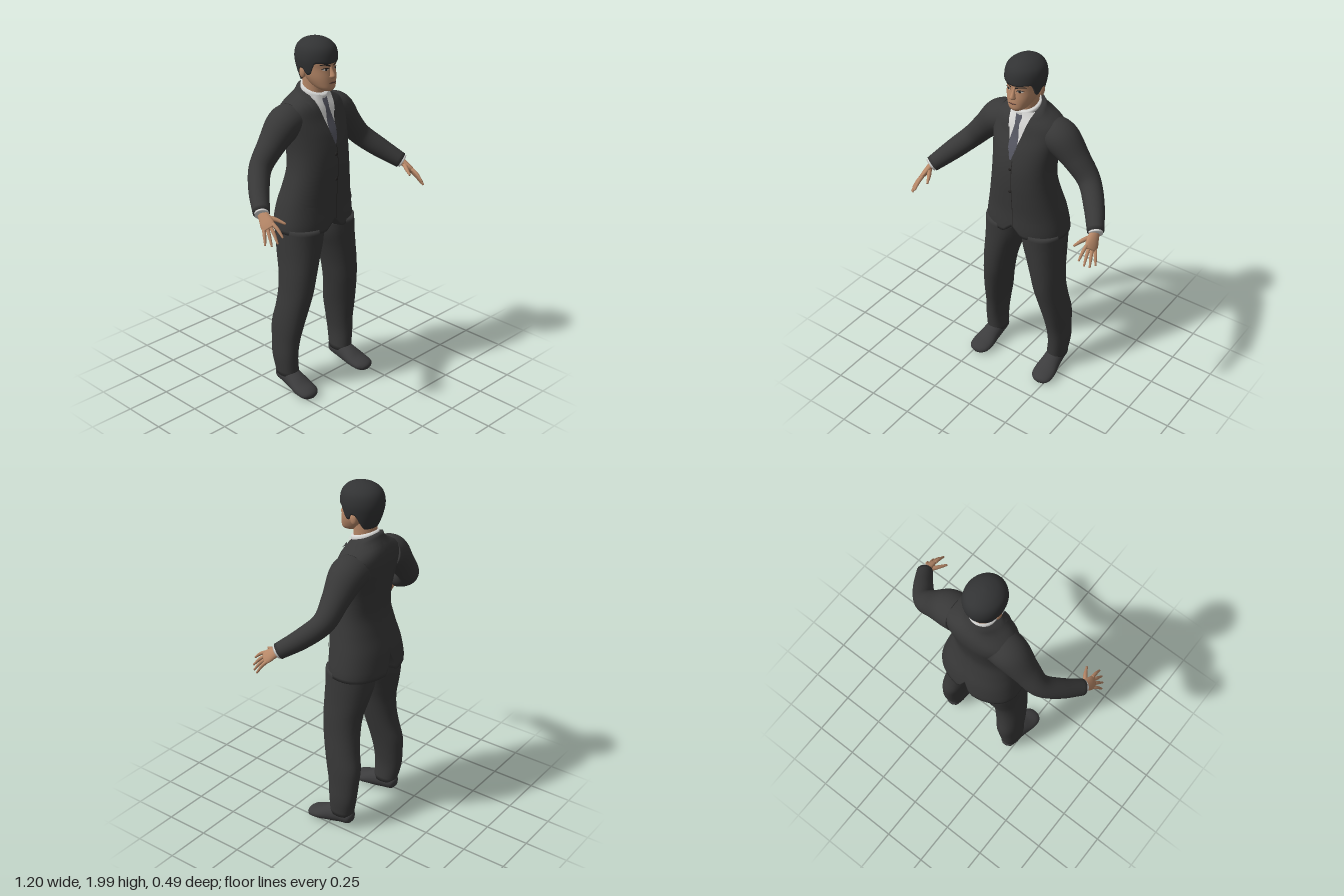
import * as THREE from 'three';

const mat = (name, color) => Object.assign(new THREE.MeshStandardMaterial({ color }), { name });
const M = {
  suit: mat('suit charcoal', 0x383838), shoe: mat('shoe leather', 0x3c3c3d),
  hair: mat('hair black', 0x323334), skin: mat('skin', 0xb78868),
  shirt: mat('shirt white', 0xd6d6d4), tie: mat('tie grey', 0x565762),
  dark: mat('dark detail', 0x262423), lip: mat('lips', 0x94624f), eye: mat('eye white', 0xc9bfb6),
};
const step = THREE.MathUtils.smoothstep;

// Smooth interpolation of rows whose first entry is the key.
function sample(rows, k) {
  const n = rows.length;
  k = Math.min(Math.max(k, rows[0][0]), rows[n - 1][0]);
  let i = 0;
  while (i < n - 2 && k > rows[i + 1][0]) i++;
  const a = rows[i], b = rows[i + 1], h = b[0] - a[0], t = (k - a[0]) / h;
  const p = rows[Math.max(i - 1, 0)], q = rows[Math.min(i + 2, n - 1)];
  return a.slice(1).map((v, j) => {
    j++;
    const m0 = (b[j] - p[j]) / (b[0] - p[0]), m1 = (q[j] - a[j]) / (q[0] - a[0]);
    const t2 = t * t, t3 = t2 * t;
    return (2 * t3 - 3 * t2 + 1) * v + (t3 - 2 * t2 + t) * h * m0 + (3 * t2 - 2 * t3) * b[j] + (t3 - t2) * h * m1;
  });
}

function indexed(name, pos, idx, material) {
  const g = new THREE.BufferGeometry();
  g.setAttribute('position', new THREE.Float32BufferAttribute(pos, 3));
  g.setIndex(idx);
  g.computeVertexNormals();
  const m = new THREE.Mesh(g, material);
  m.name = name;
  return m;
}

// Skin closed rings of points and cap both ends.
function loft(name, rings, material) {
  const s = rings[0].length, n = rings.length, pos = rings.flat(2), idx = [];
  for (let k = 0; k < n - 1; k++) for (let j = 0; j < s; j++) {
    const a = k * s + j, b = k * s + (j + 1) % s, c = a + s, d = b + s;
    idx.push(a, c, b, b, c, d);
  }
  [0, n - 1].forEach((k, end) => {
    const centre = pos.length / 3;
    for (let i = 0; i < 3; i++) pos.push(rings[k].reduce((sum, p) => sum + p[i], 0) / s);
    for (let j = 0; j < s; j++) {
      const a = k * s + j, b = k * s + (j + 1) % s;
      idx.push(centre, end ? b : a, end ? a : b);
    }
  });
  return indexed(name, pos, idx, material);
}

// Upright form; rows are [y, centre x, half width, front z, back z].
function upright(name, rows, material, { e = 1, n = 24, seg = 32, low, high, dome } = {}) {
  const rings = [], pow = v => Math.sign(v) * Math.abs(v) ** e;
  for (let i = 0; i <= n; i++) {
    const f = dome ? Math.sin(i / n * Math.PI / 2) : i / n;
    rings.push(Array.from({ length: seg }, (_, j) => {
      const t = j / seg * Math.PI * 2, sn = Math.sin(t), front = Math.abs(t - Math.PI / 2);
      const y0 = low ? low(sn, front, Math.abs(t - Math.PI * 1.5)) : rows[0][0];
      const y1 = high ? high(sn) : rows[rows.length - 1][0];
      const y = y0 + (y1 - y0) * f, [cx, rx, zf, zb] = sample(rows, y);
      return [cx + rx * pow(Math.cos(t)), y, (zf + zb) / 2 + (zf - zb) / 2 * pow(sn)];
    }));
  }
  return loft(name, rings, material);
}

// Limb along a path; rows are [x, y, z, radius u, radius v], v lying towards ref.
function limb(name, path, material, ref = [0, 0, 1], seg = 20, sub = 5) {
  const rows = path.map((r, i) => [i, ...r]), last = path.length - 1, rings = [];
  for (let i = 0; i <= last * sub; i++) {
    const k = i / sub, r = sample(rows, k), at = q => new THREE.Vector3(...sample(rows, q).slice(0, 3));
    const T = at(k + 0.05).sub(at(k - 0.05)).normalize();
    const V = new THREE.Vector3(...ref);
    V.addScaledVector(T, -V.dot(T)).normalize();
    const U = T.clone().cross(V);
    rings.push(Array.from({ length: seg }, (_, j) => {
      const t = j / seg * Math.PI * 2;
      return new THREE.Vector3(r[0], r[1], r[2]).addScaledVector(U, r[3] * Math.cos(t)).addScaledVector(V, r[4] * Math.sin(t)).toArray();
    }));
  }
  return loft(name, rings, material);
}

// Thin plate lying on the front of an upright form; fn maps u,v to x,y.
function plate(name, rows, e, fn, off, material, nu = 8, nv = 12) {
  const pos = [], idx = [];
  for (let i = 0; i <= nv; i++) for (let j = 0; j <= nu; j++) {
    const [x, y] = fn(j / nu, i / nv), [cx, rx, zf, zb] = sample(rows, y);
    const c = Math.min(Math.abs(x - cx) / rx, 1);
    pos.push(x, y, (zf + zb) / 2 + (zf - zb) / 2 * (1 - c ** (2 / e)) ** (e / 2) + off);
    if (i < nv && j < nu) {
      const a = i * (nu + 1) + j, b = a + nu + 1;
      idx.push(a, a + 1, b, a + 1, b + 1, b);
    }
  }
  return indexed(name, pos, idx, material);
}

function ball(name, p, s, material) {
  const m = new THREE.Mesh(new THREE.SphereGeometry(1, 16, 12).scale(...s).translate(...p), material);
  m.name = name;
  return m;
}

function mirrored(m) {
  const g = m.geometry.clone().scale(-1, 1, 1), a = g.index.array;
  for (let i = 0; i < a.length; i += 3) [a[i], a[i + 1]] = [a[i + 1], a[i]];
  const r = new THREE.Mesh(g, m.material);
  r.name = m.name.replace('left', 'right');
  return r;
}

const JACKET = [[0.955, 0, 0.242, 0.085, -0.245], [1.0, 0, 0.24, 0.088, -0.245], [1.1, 0, 0.222, 0.088, -0.23],
  [1.2, 0, 0.2, 0.095, -0.2], [1.3, 0, 0.182, 0.1, -0.178], [1.4, 0, 0.178, 0.095, -0.185],
  [1.5, 0, 0.19, 0.072, -0.2], [1.58, 0, 0.205, 0.04, -0.21], [1.64, 0, 0.185, 0.02, -0.205],
  [1.68, 0, 0.12, 0.0, -0.19], [1.7, 0, 0.09, -0.008, -0.175], [1.745, 0, 0.072, -0.02, -0.152]];
const HEAD = [[1.728, 0, 0.025, 0.055, 0.005], [1.74, 0, 0.045, 0.067, -0.03], [1.76, 0, 0.06, 0.069, -0.07],
  [1.8, 0, 0.077, 0.066, -0.11], [1.85, 0, 0.086, 0.058, -0.14], [1.89, 0, 0.09, 0.058, -0.15],
  [1.95, 0, 0.08, 0.04, -0.14], [1.98, 0, 0.04, 0.0, -0.1]];
const HAIR = [[1.76, 0, 0.072, 0.0, -0.128], [1.8, 0, 0.088, 0.05, -0.148], [1.85, 0, 0.1, 0.066, -0.165],
  [1.9, 0, 0.106, 0.07, -0.172], [1.95, 0, 0.095, 0.058, -0.16], [1.98, 0, 0.066, 0.028, -0.13],
  [1.995, 0, 0.033, -0.01, -0.09], [2.0, 0, 0.008, -0.04, -0.058]];
const LEG = [[0.09, 0.212, 0.054, 0.0, -0.14], [0.2, 0.22, 0.056, 0.002, -0.165], [0.3, 0.213, 0.06, 0.01, -0.175],
  [0.4, 0.203, 0.067, 0.03, -0.18], [0.5, 0.188, 0.074, 0.05, -0.16], [0.6, 0.172, 0.08, 0.068, -0.15],
  [0.7, 0.158, 0.088, 0.075, -0.155], [0.8, 0.14, 0.1, 0.077, -0.18], [0.9, 0.122, 0.116, 0.077, -0.2],
  [0.98, 0.118, 0.118, 0.077, -0.205]];

export function createModel() {
  const model = new THREE.Group();
  model.name = 'man in suit';
  const add = (...ms) => model.add(...ms);
  const pair = m => add(m, mirrored(m));
  const E = 0.88;

  // Jacket with front notch and back vent in the hem
  add(upright('jacket', JACKET, M.suit, { e: E, n: 40, seg: 72,
    low: (s, f, b) => 0.955 + Math.max(0, 0.06 * (1 - f / 0.2)) + Math.max(0, 0.11 * (1 - b / 0.13)),
    high: s => 1.715 - 0.03 * s }));
  const vee = y => 0.004 + 0.066 * (y - 1.45) / 0.25;
  add(plate('shirt front', JACKET, E, (u, v) => { const y = 1.45 + 0.25 * v; return [(2 * u - 1) * vee(y), y]; }, 0.004, M.shirt));
  const TIE = [[1.45, 0.005], [1.53, 0.026], [1.635, 0.013], [1.645, 0.015], [1.685, 0.021]];
  add(plate('tie', JACKET, E, (u, v) => { const y = 1.45 + 0.235 * v; return [(2 * u - 1) * sample(TIE, y)[0], y]; }, 0.009, M.tie, 6, 24));
  pair(plate('left lapel', JACKET, E, (u, v) => {
    const y = 1.43 + 0.25 * v;
    return [vee(Math.max(y, 1.45)) + u * 0.055 * Math.min(1, v * 1.6) * (v > 0.8 ? 0.75 : 1), y];
  }, 0.009, M.suit, 5, 20));
  add(plate('front seam', JACKET, E, (u, v) => [0.008 + u * 0.004, 1.02 + 0.42 * v], 0.002, M.dark, 1, 20));
  pair(plate('left pocket flap', JACKET, E, (u, v) => [0.095 + 0.085 * u, 1.07 + 0.04 * v + 0.01 * u], 0.005, M.suit, 6, 2));
  for (const [y, z] of [[1.39, 0.097], [1.25, 0.099]]) add(ball('jacket button', [0.0, y, z], [0.009, 0.009, 0.005], M.dark));

  // Shirt collar
  add(upright('shirt collar', [[1.62, 0, 0.07, 0.005, -0.15], [1.7, 0, 0.068, 0.01, -0.148], [1.756, 0, 0.064, 0.0, -0.14]],
    M.shirt, { n: 6, high: s => 1.728 - 0.026 * s }));
  pair(plate('left collar wing', JACKET, E, (u, v) => {
    const y = 1.61 + 0.092 * v;
    return [0.038 * (1 - v) + v * (0.012 + 0.052 * u) + 0.006 * u * (1 - v), y];
  }, 0.014, M.shirt, 5, 6));

  // Trousers and shoes
  pair(upright('left trouser leg', LEG, M.suit, { e: 0.92, n: 36, seg: 28 }));
  pair(limb('left shoe', [[0.212, 0.075, -0.146, 0.015, 0.018], [0.212, 0.078, -0.125, 0.04, 0.042], [0.212, 0.08, -0.06, 0.05, 0.055],
    [0.215, 0.064, 0.0, 0.056, 0.05], [0.219, 0.046, 0.06, 0.065, 0.036], [0.222, 0.035, 0.11, 0.06, 0.029],
    [0.222, 0.027, 0.135, 0.04, 0.021], [0.222, 0.023, 0.145, 0.012, 0.008]], M.shoe, [0, 1, 0]));

  // Sleeves and cuffs
  pair(limb('left sleeve', [[0.13, 1.575, -0.095, 0.09, 0.1], [0.2, 1.55, -0.095, 0.093, 0.098], [0.29, 1.46, -0.095, 0.072, 0.075],
    [0.375, 1.365, -0.085, 0.062, 0.06], [0.455, 1.285, -0.01, 0.056, 0.054], [0.53, 1.212, 0.088, 0.044, 0.044]], M.suit, [0, 0, 1], 28, 7));
  pair(limb('left shirt cuff', [[0.52, 1.222, 0.075, 0.037, 0.037], [0.536, 1.206, 0.097, 0.037, 0.037]], M.shirt));

  // Hands
  const across = [0.55, -0.5, -0.65];
  pair(limb('left palm', [[0.525, 1.217, 0.08, 0.022, 0.026], [0.535, 1.195, 0.115, 0.018, 0.032],
    [0.545, 1.172, 0.145, 0.015, 0.038], [0.552, 1.155, 0.168, 0.01, 0.034]], M.skin, across));
  const tips = [[0.532, 1.125, 0.246], [0.558, 1.096, 0.236], [0.58, 1.083, 0.215], [0.596, 1.083, 0.184]];
  tips.forEach((tip, i) => {
    const root = [0.546, 1.165, 0.155].map((c, k) => c + across[k] * (i - 1.5) * 0.018);
    const mid = root.map((c, k) => (c + tip[k]) / 2 + (k === 1 ? 0.007 : 0));
    pair(limb('left finger', [[...root, 0.01, 0.01], [...mid, 0.009, 0.009], [...tip, 0.005, 0.005]], M.skin, across, 10));
  });
  pair(limb('left thumb', [[0.525, 1.197, 0.12, 0.014, 0.014], [0.497, 1.187, 0.16, 0.011, 0.011], [0.474, 1.17, 0.205, 0.006, 0.006]], M.skin, [0, 1, 0], 10));

  // Head and neck
  add(upright('neck', [[1.64, 0, 0.06, -0.005, -0.135], [1.72, 0, 0.056, -0.005, -0.132], [1.82, 0, 0.06, 0.0, -0.135]], M.skin, { n: 8 }));
  add(upright('head', HEAD, M.skin, { e: 0.95, n: 30, seg: 40 }));
  add(upright('hair', HAIR, M.hair, { n: 24, seg: 64, dome: true,
    low: s => 1.768 + 0.08 * step(s, -0.65, -0.15) - 0.033 * step(s, 0.02, 0.16) + 0.07 * step(s, 0.32, 0.62) - 0.006 * step(s, 0.8, 1) }));
  pair(ball('left ear', [0.09, 1.825, -0.06], [0.012, 0.032, 0.02], M.skin));

  // Face
  add(upright('nose', [[1.797, 0, 0.008, 0.07, 0.04], [1.806, 0, 0.018, 0.084, 0.04], [1.815, 0, 0.014, 0.085, 0.04],
    [1.84, 0, 0.009, 0.07, 0.04], [1.865, 0, 0.007, 0.058, 0.04]], M.skin, { n: 12, seg: 16 }));
  const almond = (cx, cy, w, h) => (u, v) => [cx + (2 * u - 1) * w, cy + (2 * v - 1) * h * Math.sin(Math.PI * u)];
  pair(plate('left eye', HEAD, 0.95, almond(0.036, 1.847, 0.017, 0.006), 0.003, M.eye, 10, 2));
  pair(plate('left iris', HEAD, 0.95, almond(0.035, 1.847, 0.007, 0.006), 0.005, M.dark, 8, 2));
  pair(plate('left upper lash', HEAD, 0.95, (u, v) => [0.017 + 0.038 * u, 1.848 + 0.005 * Math.sin(Math.PI * u) + 0.004 * v], 0.006, M.dark, 8, 1));
  pair(plate('left eyebrow', HEAD, 0.95, (u, v) => [0.012 + 0.052 * u, 1.86 + 0.011 * Math.sin(u * 2.2) + v * (0.009 - 0.005 * u)], 0.006, M.dark, 8, 1));
  add(plate('mouth', HEAD, 0.95, almond(0, 1.776, 0.026, 0.006), 0.004, M.lip, 12, 2));
  add(plate('mouth line', HEAD, 0.95, (u, v) => [(2 * u - 1) * 0.025, 1.775 + 0.0025 * v], 0.006, M.dark, 8, 1));
  return model;
}
